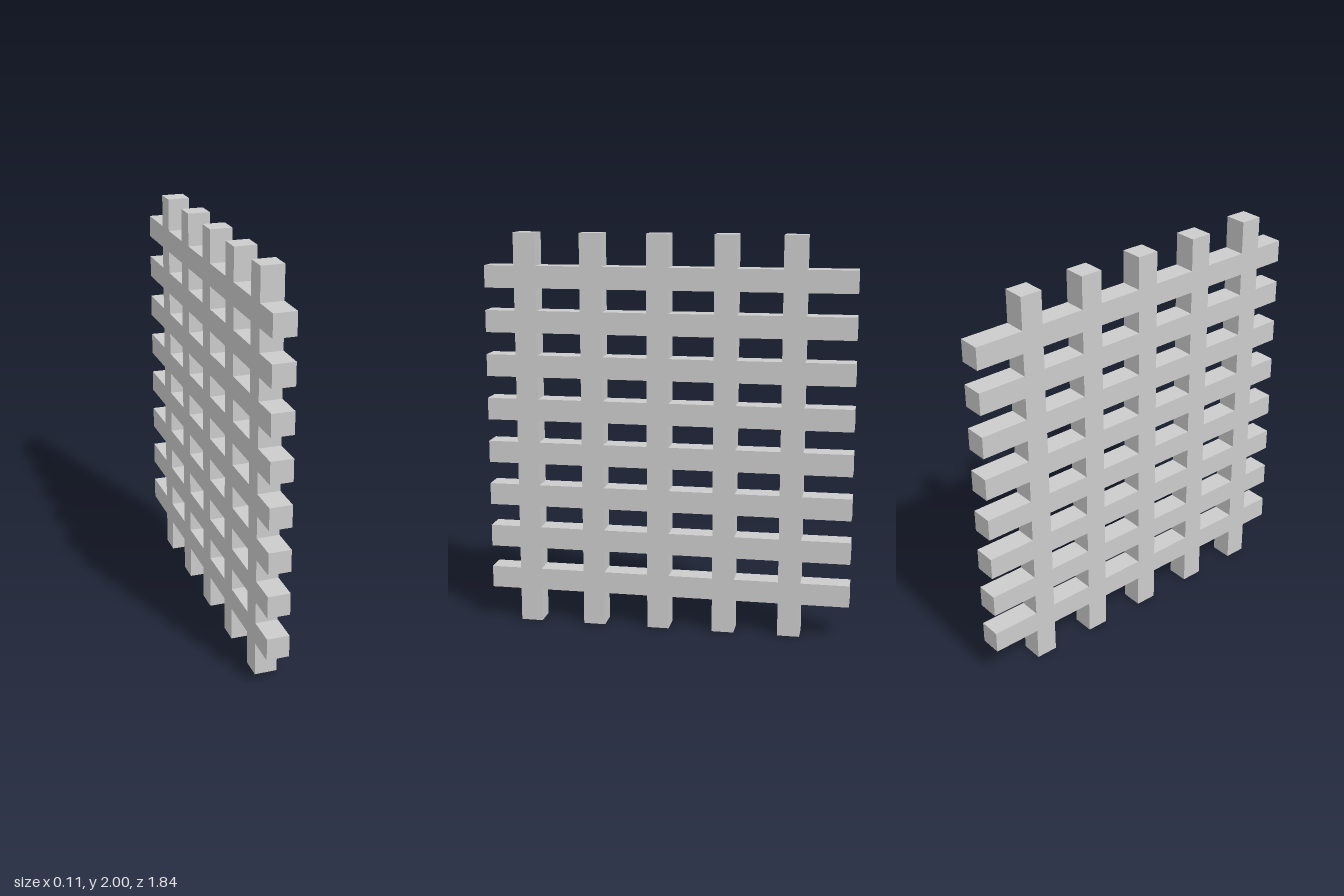
import * as THREE from 'three';

const BAR = 0.111;                 // square bar thickness
const HALF = BAR / 2;
const REACH = 0.92;                // half length of the rails
const HEIGHT = 2;                  // length of the posts
const posts = Array.from({ length: 5 }, (_, i) => 0.046 + (i - 2) * 0.3335);
const rails = Array.from({ length: 8 }, (_, i) => 1.004 + (i - 3.5) * 0.2224);

// Outer silhouette, counter-clockwise: post ends and rail ends stick out on all four sides
function outline() {
  const points = [];
  const add = (x, y) => {
    const last = points[points.length - 1];
    if (!last || last.x !== x || last.y !== y) points.push(new THREE.Vector2(x, y));
  };
  // One protruding post end; s is the walking direction
  const postEnd = (p, base, tip, s) => {
    add(p - s * HALF, base); add(p - s * HALF, tip);
    add(p + s * HALF, tip); add(p + s * HALF, base);
  };
  // One protruding rail end
  const railEnd = (r, base, tip, s) => {
    add(base, r - s * HALF); add(tip, r - s * HALF);
    add(tip, r + s * HALF); add(base, r + s * HALF);
  };
  const low = rails[0] - HALF, high = rails[rails.length - 1] + HALF;
  const near = posts[0] - HALF, far = posts[posts.length - 1] + HALF;
  posts.forEach(p => postEnd(p, low, 0, 1));
  rails.forEach(r => railEnd(r, far, REACH, 1));
  [...posts].reverse().forEach(p => postEnd(p, high, HEIGHT, -1));
  [...rails].reverse().forEach(r => railEnd(r, near, -REACH, -1));
  points.pop();                    // the last point closes onto the first
  return points;
}

// Rectangular opening between two neighbouring posts and rails
function opening(i, j) {
  const x0 = posts[i] + HALF, x1 = posts[i + 1] - HALF;
  const y0 = rails[j] + HALF, y1 = rails[j + 1] - HALF;
  return new THREE.Path([
    new THREE.Vector2(x0, y0), new THREE.Vector2(x0, y1),
    new THREE.Vector2(x1, y1), new THREE.Vector2(x1, y0),
  ]);
}

export function createModel() {
  const group = new THREE.Group();
  group.name = 'latticePanel';

  const shape = new THREE.Shape(outline());
  for (let i = 0; i < posts.length - 1; i++)
    for (let j = 0; j < rails.length - 1; j++) shape.holes.push(opening(i, j));

  // Posts and rails are flush, so the lattice is one solid, turned to lie along z
  const geometry = new THREE.ExtrudeGeometry(shape, { depth: BAR, bevelEnabled: false });
  geometry.translate(0, 0, -HALF);
  geometry.rotateY(-Math.PI / 2);

  const lattice = new THREE.Mesh(geometry, new THREE.MeshStandardMaterial({ color: 0xcccccc }));
  lattice.name = 'lattice';
  group.add(lattice);
  return group;
}
